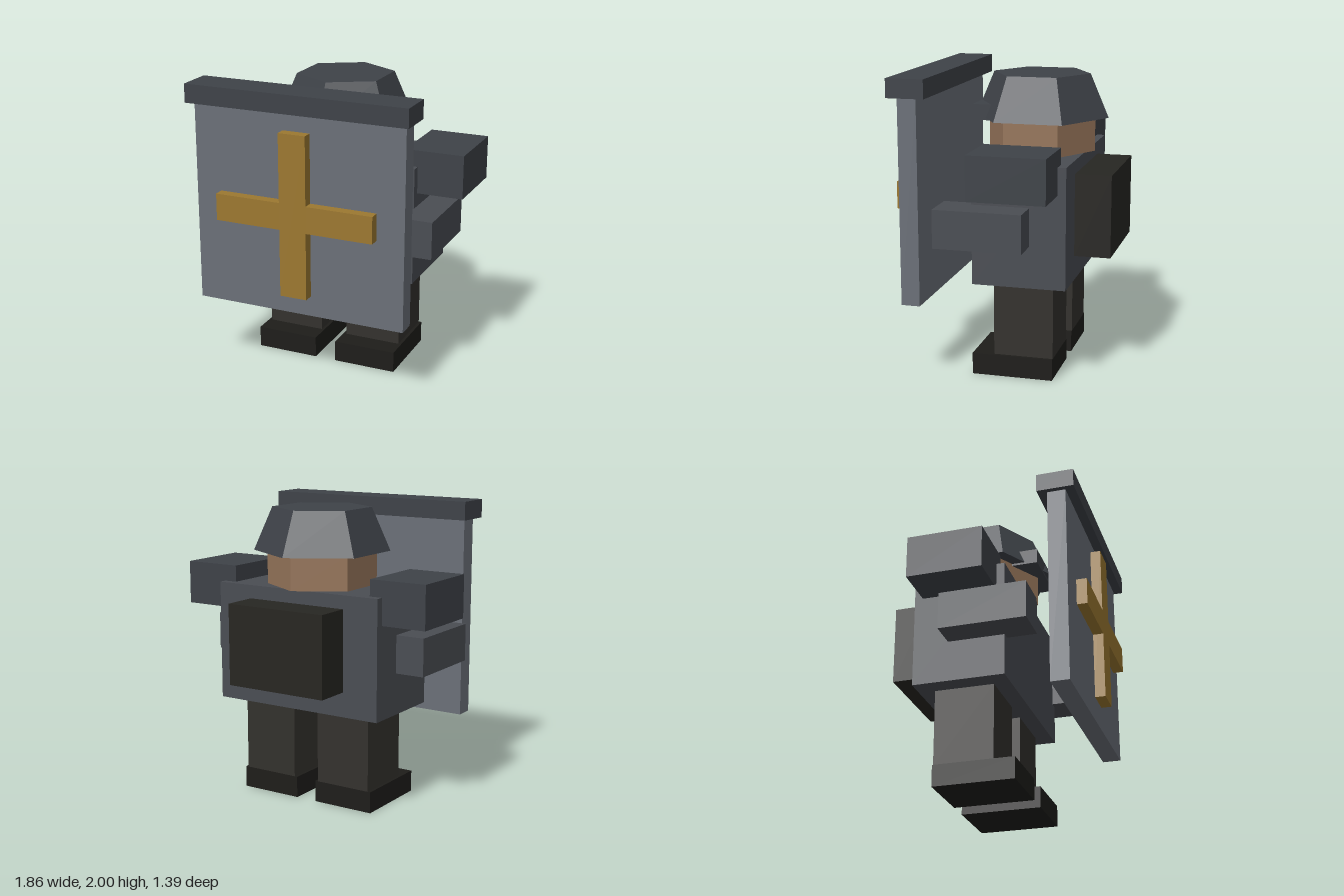
import * as THREE from 'three';

const mat = (color) => new THREE.MeshStandardMaterial({ color, flatShading: true });

export function createModel() {
  const model = new THREE.Group();
  const steel = mat(0x6b7078), darkSteel = mat(0x3e4248), cloth = mat(0x4a4d53);
  const trousers = mat(0x33312d), black = mat(0x1e1d1a), pack = mat(0x272622);
  const brass = mat(0x9c7830), skin = mat(0x96755a);

  const add = (name, geometry, material) => {
    const mesh = new THREE.Mesh(geometry, material);
    mesh.name = name;
    model.add(mesh);
    return mesh;
  };
  // Box given by its extents along each axis
  const box = (name, material, [x0, x1], [y0, y1], [z0, z1]) =>
    add(name, new THREE.BoxGeometry(x1 - x0, y1 - y0, z1 - z0), material)
      .position.set((x0 + x1) / 2, (y0 + y1) / 2, (z0 + z1) / 2);
  // Matching boxes on both sides of the body
  const pair = (name, material, [x0, x1], y, z) => {
    box('left' + name, material, [x0, x1], y, z);
    box('right' + name, material, [-x1, -x0], y, z);
  };
  // Six-sided frustum with a corner towards the front
  const hex = (name, material, rTop, rBottom, y0, y1) =>
    add(name, new THREE.CylinderGeometry(rTop, rBottom, y1 - y0, 6), material)
      .position.set(0, (y0 + y1) / 2, -0.145);

  // Legs and boots
  pair('Boot', black, [0.075, 0.51], [0, 0.145], [-0.345, 0.2]);
  pair('Leg', trousers, [0.095, 0.49], [0.145, 0.66], [-0.345, 0.055]);

  // Torso and backpack
  box('torso', cloth, [-0.62, 0.62], [0.66, 1.46], [-0.455, 0.165]);
  box('backpack', pack, [-0.365, 0.365], [0.825, 1.37], [-0.695, -0.455]);

  // Arms
  pair('Shoulder', darkSteel, [0.53, 0.93], [1.28, 1.57], [-0.4, 0.108]);
  pair('Forearm', cloth, [0.565, 0.82], [0.937, 1.19], [-0.217, 0.365]);

  // Head and helmet
  hex('head', skin, 0.365, 0.365, 1.46, 1.69);
  hex('helmet', darkSteel, 0.33, 0.455, 1.685, 1.975);
  box('visor', darkSteel, [-0.215, 0.215], [1.67, 1.775], [0.095, 0.275]);

  // Shield with top rail and raised cross
  box('shieldPlate', steel, [-0.73, 0.73], [0.515, 1.875], [0.488, 0.613]);
  box('shieldRail', darkSteel, [-0.765, 0.765], [1.875, 2], [0.425, 0.675]);
  box('crossUpright', brass, [-0.093, 0.093], [0.66, 1.757], [0.625, 0.695]);
  for (const s of [-1, 1]) {
    const x = [s * 0.093, s * 0.547].sort((a, b) => a - b);
    box(s > 0 ? 'crossLeftArm' : 'crossRightArm', brass, x, [1.117, 1.298], [0.625, 0.695]);
  }
  return model;
}
